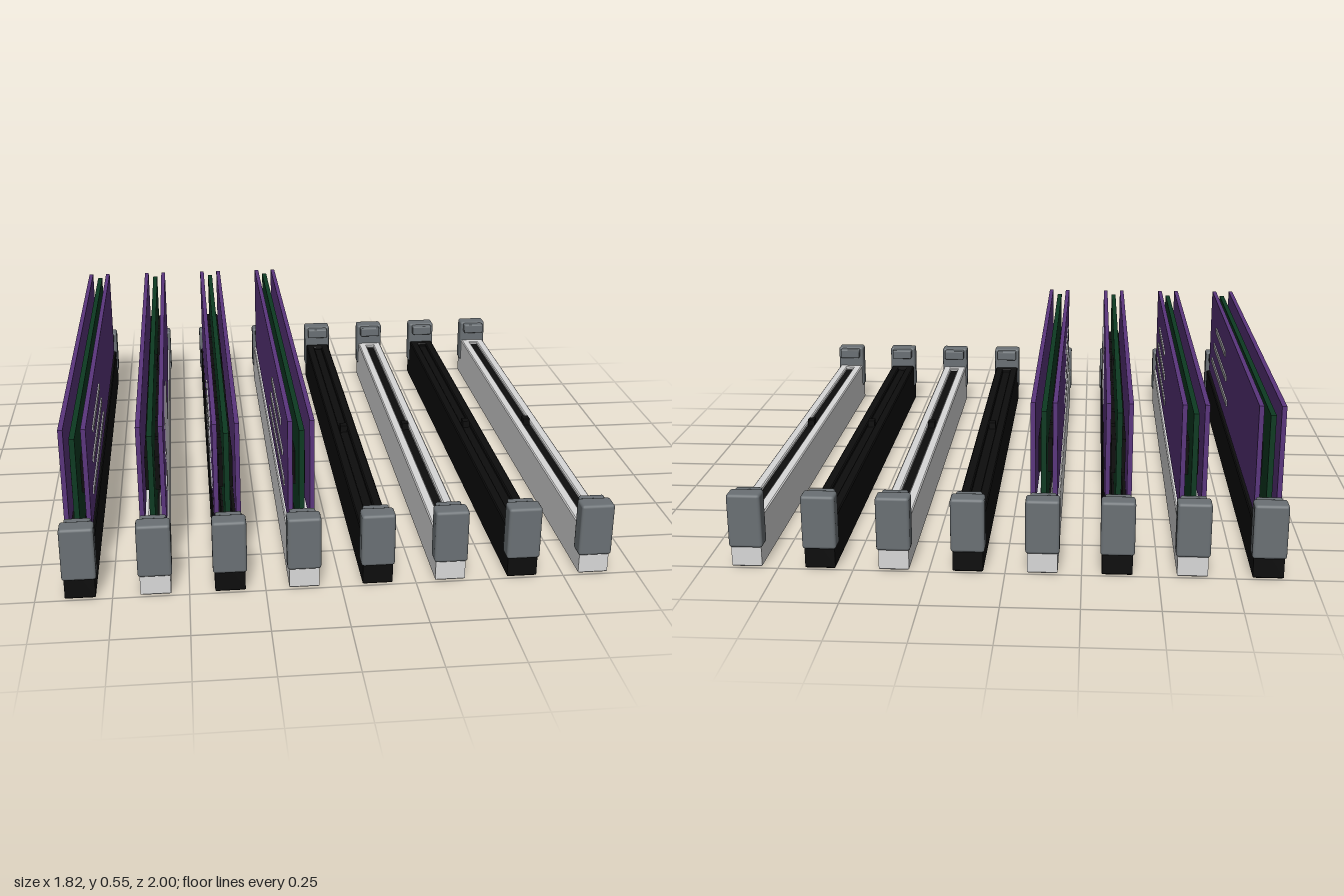
import * as THREE from 'three';
import { RoundedBoxGeometry } from 'three/addons/geometries/RoundedBoxGeometry.js';

const mat = (name, color) => {
  const m = new THREE.MeshStandardMaterial({ color });
  m.name = name;
  return m;
};

export function createModel() {
  const black = mat('black plastic', 0x0d0d0d);
  const white = mat('white plastic', 0xd8d8d8);
  const grey = mat('clip grey', 0x6a7074);
  const green = mat('board green', 0x0d3a22);
  const purple = mat('spreader purple', 0x5a357d);
  const silver = mat('stripe silver', 0xb0aeb4);

  const add = (parent, name, geometry, material, x, y, z) => {
    const mesh = new THREE.Mesh(geometry, material);
    mesh.name = name;
    mesh.position.set(x, y, z);
    parent.add(mesh);
    return mesh;
  };
  const box = (w, h, d) => new THREE.BoxGeometry(w, h, d);
  const rect = (path, w, d) => path
    .moveTo(-w / 2, -d / 2).lineTo(w / 2, -d / 2)
    .lineTo(w / 2, d / 2).lineTo(-w / 2, d / 2).closePath();

  // Slot housing: long bevelled bar with a narrow channel
  const outline = rect(new THREE.Shape(), 0.1, 1.98);
  outline.holes.push(rect(new THREE.Path(), 0.032, 1.81));
  const bevel = 0.004;
  const housingGeo = new THREE.ExtrudeGeometry(outline, {
    depth: 0.168 - 2 * bevel, bevelEnabled: true, bevelThickness: bevel,
    bevelSize: bevel, bevelOffset: -bevel, bevelSegments: 1,
  });
  housingGeo.rotateX(-Math.PI / 2).translate(0, bevel, 0);

  const clipGeo = new RoundedBoxGeometry(0.112, 0.185, 0.065, 2, 0.01);
  const hookGeo = new RoundedBoxGeometry(0.086, 0.04, 0.05, 2, 0.006);
  const floorGeo = box(0.034, 0.01, 1.812);
  const insertGeo = box(0.031, 0.145, 1.809);
  const keyGeo = box(0.026, 0.03, 0.034);

  const makeSlot = (plastic) => {
    const slot = new THREE.Group();
    slot.name = 'slot';
    add(slot, 'housing', housingGeo, plastic, 0, 0, 0);
    add(slot, 'housingFloor', floorGeo, plastic, 0, 0.0055, 0);
    add(slot, 'channelInsert', insertGeo, black, 0, 0.0835, 0);
    add(slot, 'key', keyGeo, black, 0, 0.167, 0.058);
    for (const s of [1, -1]) {
      add(slot, 'endClip', clipGeo, grey, 0, 0.1625, s * 0.9675);
      add(slot, 'clipHook', hookGeo, grey, 0, 0.23, s * 0.93);
    }
    return slot;
  };

  const boardGeo = box(0.018, 0.37, 1.81);
  const spreaderGeo = box(0.016, 0.362, 1.77);
  const chipGeo = box(0.015, 0.12, 0.145);
  const stripes = [ // y, centre z, length
    [0.437, 0.41, 0.41],
    [0.353, 0.408, 0.545],
    [0.27, 0.408, 0.685],
  ];

  const makeModule = () => {
    const stick = new THREE.Group();
    stick.name = 'memoryModule';
    add(stick, 'circuitBoard', boardGeo, green, 0, 0.342, 0);
    add(stick, 'smallChip', box(0.008, 0.04, 0.07), black, 0.013, 0.45, 0);
    for (const s of [1, -1]) {
      add(stick, 'heatSpreader', spreaderGeo, purple, s * 0.036, 0.37, 0);
      for (let i = -4; i <= 4; i++) {
        add(stick, 'memoryChip', chipGeo, black, s * 0.0165, 0.33, i * 0.172);
      }
      for (const [y, z, length] of stripes) {
        add(stick, 'stripe', box(0.005, 0.021, length), silver, s * 0.0465, y, z);
      }
    }
    return stick;
  };

  // Eight slots in alternating colours, the first four filled
  const model = new THREE.Group();
  model.name = 'memorySlots';
  for (let i = 0; i < 8; i++) {
    const bay = makeSlot(i % 2 ? white : black);
    if (i < 4) bay.add(makeModule());
    bay.position.x = (i - 3.5) * 0.244;
    model.add(bay);
  }
  return model;
}
